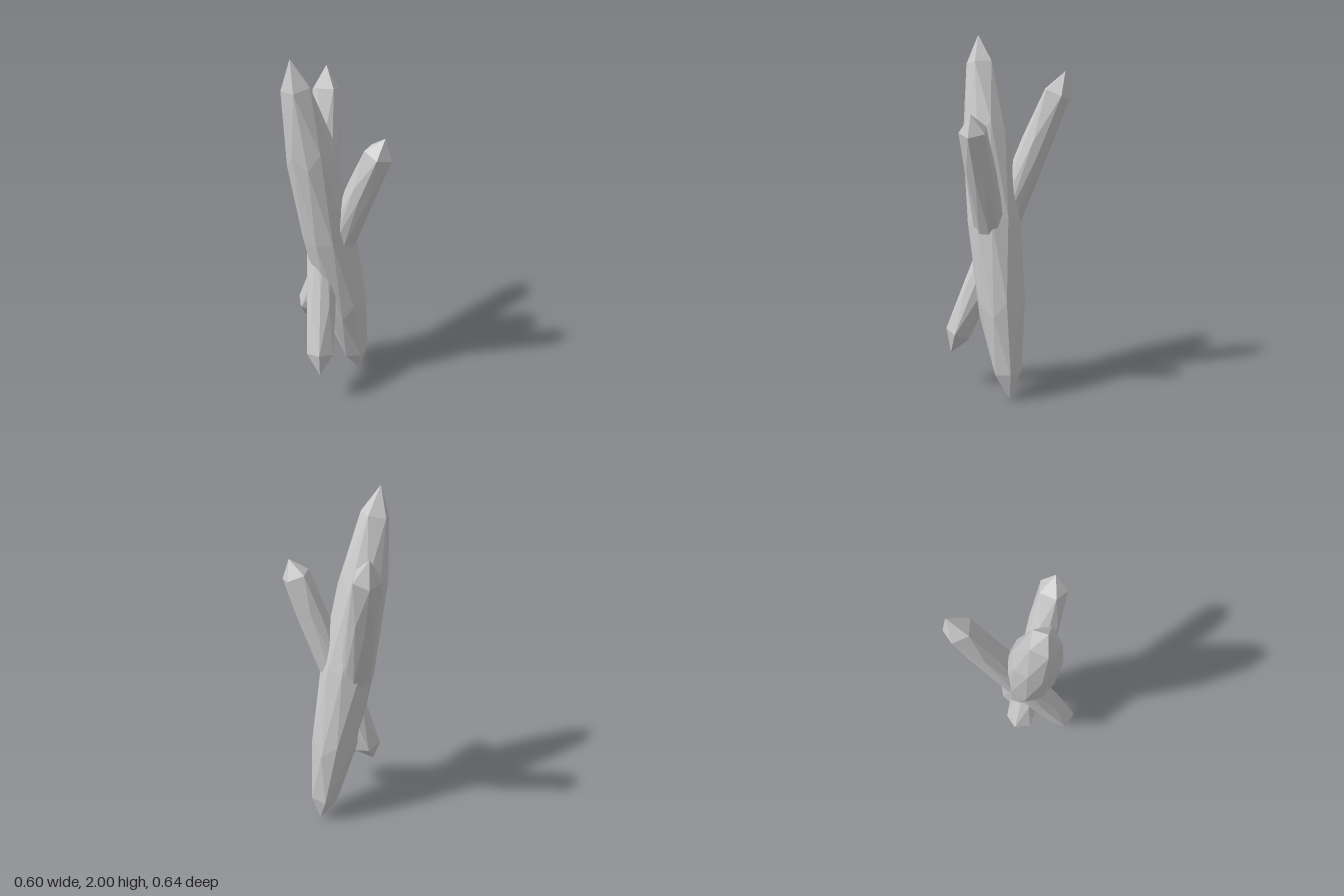
import * as THREE from 'three';

const material = new THREE.MeshStandardMaterial({ color: 0xcccccc, flatShading: true });

// Faceted spindle between two tips; radiusAt(r, h) reshapes each ring of the unit icosphere
function crystal(name, top, bottom, spin, radiusAt) {
  const geo = new THREE.IcosahedronGeometry(1, 1);
  geo.rotateZ(-Math.atan(2 / (1 + Math.sqrt(5)))); // one vertex becomes the pole

  const axis = new THREE.Vector3().subVectors(top, bottom);
  const half = axis.length() / 2;
  const pos = geo.attributes.position;
  for (let i = 0; i < pos.count; i++) {
    const x = pos.getX(i), y = pos.getY(i), z = pos.getZ(i);
    const r = Math.hypot(x, z);
    const k = r > 0.01 ? radiusAt(r, Math.abs(y)) / r : 0;
    pos.setXYZ(i, x * k, y * half, z * k);
  }
  geo.rotateY(spin);
  geo.computeVertexNormals();

  const mesh = new THREE.Mesh(geo, material);
  mesh.name = name;
  mesh.position.addVectors(top, bottom).multiplyScalar(0.5);
  mesh.quaternion.setFromUnitVectors(new THREE.Vector3(0, 1, 0), axis.normalize());
  return mesh;
}

export function createModel() {
  const group = new THREE.Group();
  group.name = 'crystalCluster';
  const v = (x, y, z) => new THREE.Vector3(x, y, z);

  // Thick central crystal, swelling at the middle
  const swollen = (r) => 0.15 * r;
  group.add(crystal('mainCrystal', v(-0.19, 2, 0.195), v(0.065, 0, -0.095), 0, swollen));

  // Slender crystals that pierce the main one and show on both sides
  const slender = (r, h) => (h > 0.7 ? 0.078 : h > 0.3 ? 0.083 : 0.088);
  group.add(crystal('sideCrystal', v(0.26, 1.61, 0.047), v(-0.22, 0.4, 0.047), 0, slender));
  group.add(crystal('backCrystal', v(-0.24, 1.81, -0.295), v(0, 0.2, 0.295),
    THREE.MathUtils.degToRad(-32), slender));

  return group;
}
